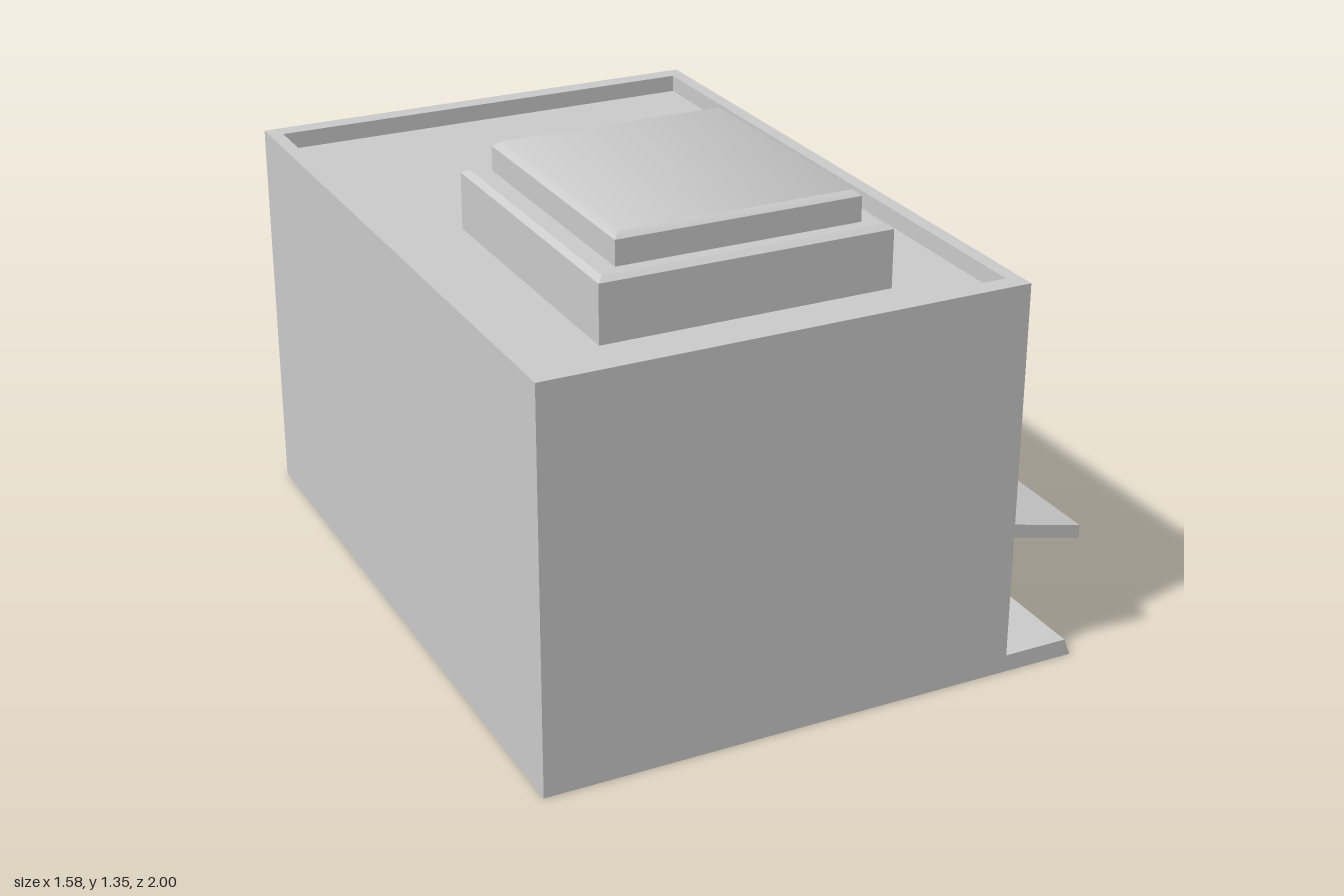
import * as THREE from 'three';
import { toCreasedNormals } from 'three/addons/utils/BufferGeometryUtils.js';

const material = new THREE.MeshStandardMaterial({ color: 0xcccccc });
const toShape = (pts) => new THREE.Shape(pts.map(([x, y]) => new THREE.Vector2(x, y)));
const rect = (x0, x1, y0, y1) => [[x0, y0], [x1, y0], [x1, y1], [x0, y1]];

function add(group, name, geometry) {
  const mesh = new THREE.Mesh(geometry, material);
  mesh.name = name;
  group.add(mesh);
}

// Solid from a flat outline, spanning from..to along local z, optionally with a chamfered rim.
function slab(shape, from, to, chamfer = 0, rise = chamfer) {
  const geometry = new THREE.ExtrudeGeometry(shape, {
    depth: to - from - 2 * rise,
    bevelEnabled: chamfer > 0,
    bevelSize: chamfer,
    bevelOffset: -chamfer,
    bevelThickness: rise,
    bevelSegments: 1,
  });
  return geometry.translate(0, 0, from + rise);
}

// Lays a slab flat: local z becomes y, local y becomes -z.
const layFlat = (geometry) => geometry.rotateX(-Math.PI / 2);

export function createModel() {
  const group = new THREE.Group();

  // Main block with the step at its foot and the sloping canopy, as one profile
  const profile = [
    [-0.79, 0], [0.79, 0], [0.77, 0.05], [0.58, 0.05], [0.58, 0.41],
    [0.79, 0.36], [0.79, 0.40], [0.58, 0.45], [0.58, 1.09], [-0.79, 1.09],
  ];
  add(group, 'buildingWithCanopyAndStep', slab(toShape(profile), -1, 1));

  // Low wall round the recessed roof
  const rim = toShape(rect(-0.79, 0.58, -1, 1));
  rim.holes.push(new THREE.Path(toShape(rect(-0.75, 0.54, -0.945, 0.945)).getPoints()));
  add(group, 'parapet', layFlat(slab(rim, 1.09, 1.14)));

  // Two-tier roof unit
  const lower = slab(toShape(rect(-0.52, 0.31, -0.77, 0.11)), 1.06, 1.265, 0.018, 0.012);
  add(group, 'roofUnitBase', layFlat(lower));
  const upper = slab(toShape(rect(-0.45, 0.245, -0.715, 0.055)), 1.2, 1.35, 0.018, 0.015);
  add(group, 'roofUnitCap', toCreasedNormals(layFlat(upper), 0.75));

  // Scalloped sign on the shop wall: half outlines, mirrored
  const mirror = (half) => toShape([...half, ...half.map(([x, y]) => [-x, y]).reverse()]);
  const outer = mirror([
    [0.105, 0.455], [0.165, 0.525], [0.275, 0.55], [0.275, 0.65],
    [0.245, 0.7], [0.18, 0.74], [0.075, 0.76],
  ]);
  const inner = mirror([
    [0.075, 0.48], [0.125, 0.535], [0.228, 0.565], [0.228, 0.66],
    [0.2, 0.693], [0.155, 0.717], [0.07, 0.735],
  ]);
  const faceSide = (geometry) => geometry.rotateY(Math.PI / 2);
  add(group, 'signBacking', faceSide(slab(outer, 0.56, 0.603, 0.008, 0.006)));
  add(group, 'signPanel', toCreasedNormals(faceSide(slab(inner, 0.57, 0.617, 0.008, 0.006)), 0.75));

  return group;
}
